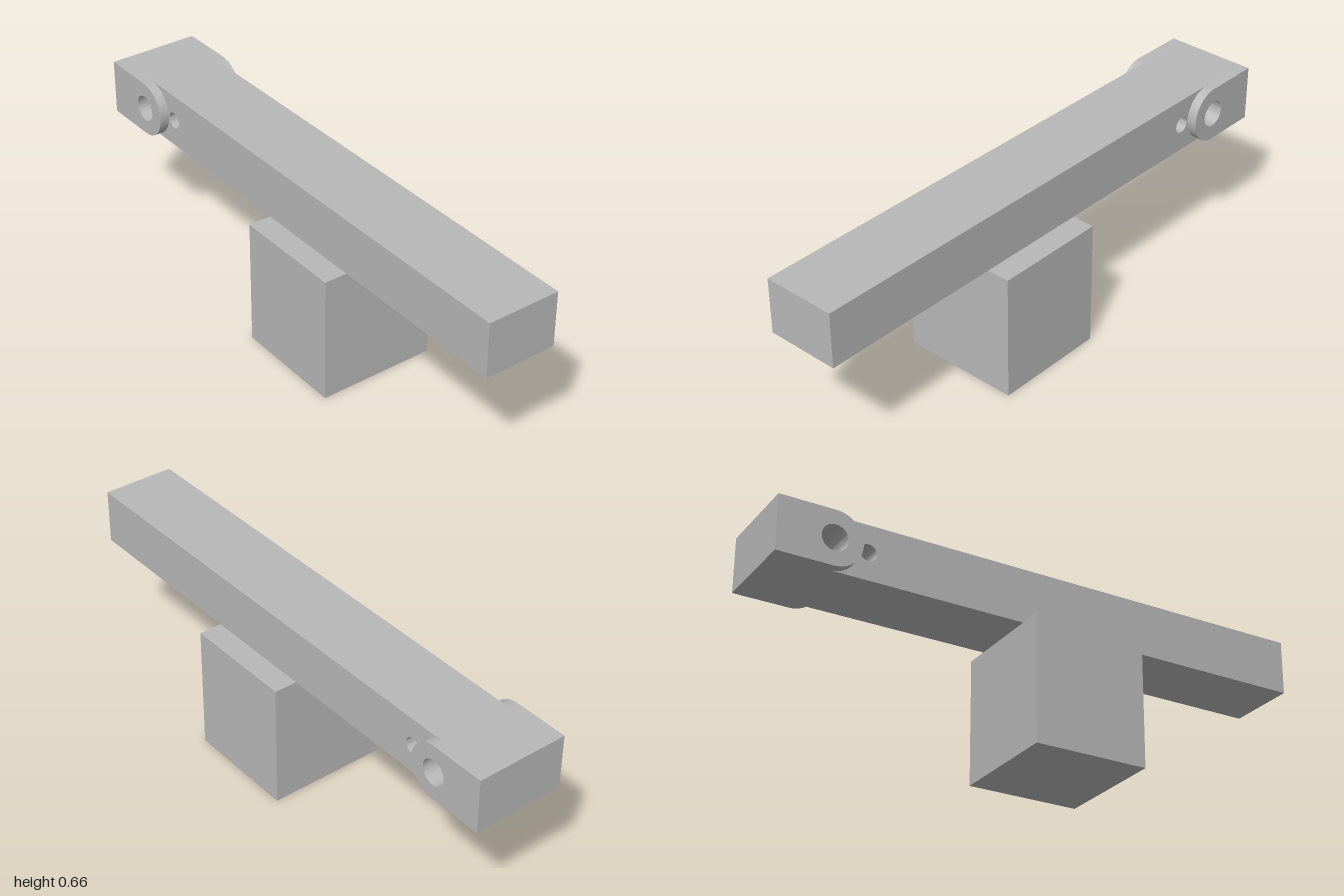
import * as THREE from 'three';
import { toCreasedNormals } from 'three/addons/utils/BufferGeometryUtils.js';

const BOTTOM = 0.462, TOP = 0.662, MID = 0.562;
const PIVOT_X = -0.8, PIN_X = -0.666;

function addHole(shape, x, radius) {
  const hole = new THREE.Path();
  hole.absarc(x, MID, radius, 0, Math.PI * 2, true);
  shape.holes.push(hole);
}

// Extrude a front outline between two depths, smooth on curves and sharp on edges
function plate(name, shape, z0, z1, material) {
  const geometry = new THREE.ExtrudeGeometry(shape, { depth: z1 - z0, bevelEnabled: false, curveSegments: 32 });
  geometry.translate(0, 0, z0);
  const mesh = new THREE.Mesh(toCreasedNormals(geometry, 0.6), material);
  mesh.name = name;
  return mesh;
}

export function createModel() {
  const group = new THREE.Group();
  group.name = 'pivotedBeam';
  const grey = new THREE.MeshStandardMaterial({ color: 0xb8b8b8 });
  grey.name = 'grey';

  // Long beam with the pivot bore and the small pin bore
  const beam = new THREE.Shape();
  beam.moveTo(-1, BOTTOM);
  beam.lineTo(1, BOTTOM);
  beam.lineTo(1, TOP);
  beam.lineTo(-1, TOP);
  beam.closePath();
  addHole(beam, PIVOT_X, 0.047);
  addHole(beam, PIN_X, 0.03);
  group.add(plate('beam', beam, -0.133, 0.133, grey));

  // Round-ended cheeks on both sides of the pivot
  const cheek = new THREE.Shape();
  cheek.moveTo(-1, BOTTOM);
  cheek.lineTo(PIVOT_X, BOTTOM);
  cheek.absarc(PIVOT_X, MID, 0.1, -Math.PI / 2, Math.PI / 2, false);
  cheek.lineTo(-1, TOP);
  cheek.closePath();
  addHole(cheek, PIVOT_X, 0.047);
  group.add(plate('frontCheek', cheek, 0.133, 0.168, grey));
  group.add(plate('backCheek', cheek, -0.168, -0.133, grey));

  // Block hanging under the beam
  const block = new THREE.Mesh(new THREE.BoxGeometry(0.417, BOTTOM, 0.434), grey);
  block.position.set(0.118, BOTTOM / 2, 0);
  block.name = 'block';
  group.add(block);

  return group;
}
